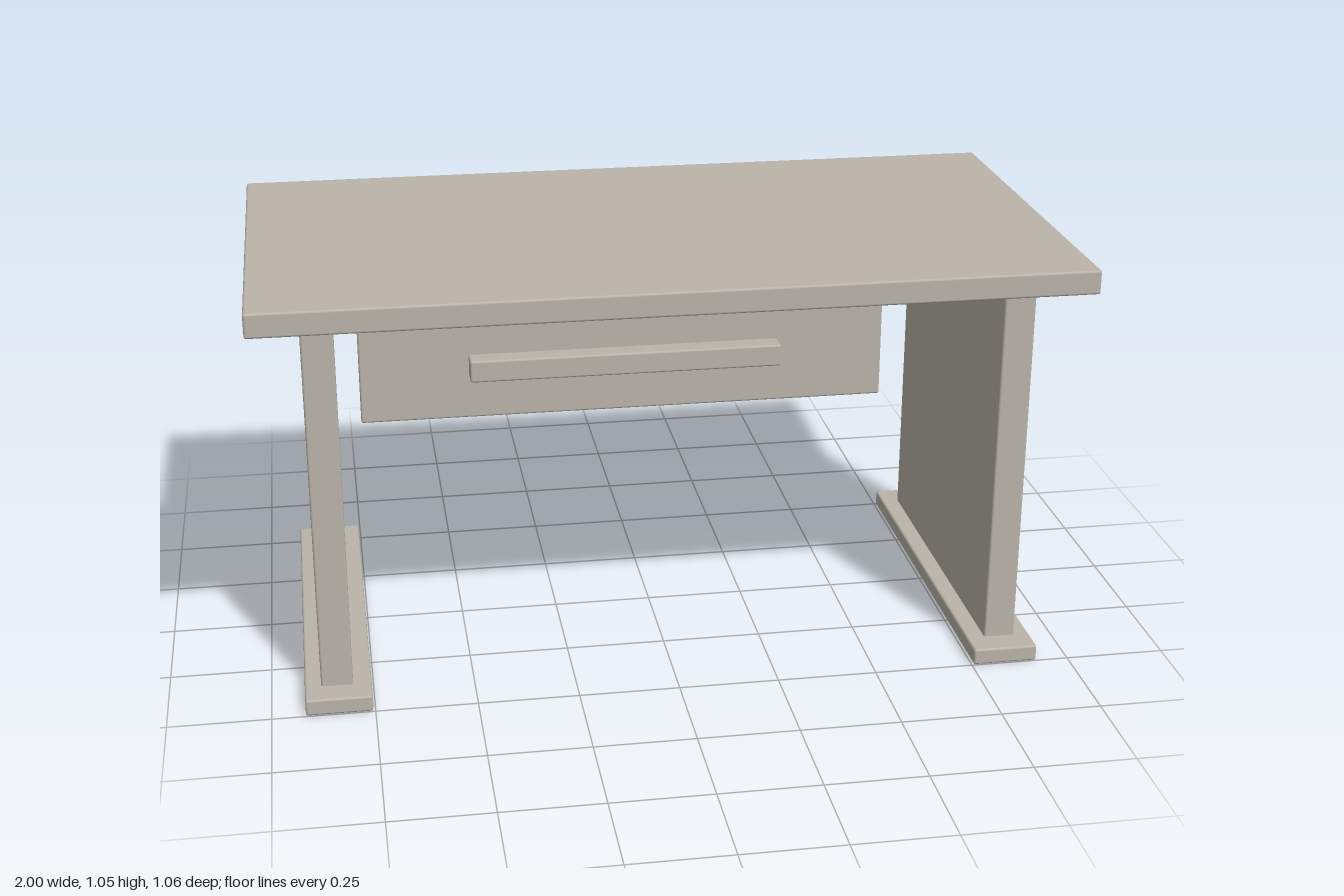
import * as THREE from 'three';
import { RoundedBoxGeometry } from 'three/addons/geometries/RoundedBoxGeometry.js';

export function createModel() {
  const model = new THREE.Group();
  model.name = 'desk';
  const laminate = new THREE.MeshStandardMaterial({ color: 0xbab4aa });
  laminate.name = 'warm grey laminate';

  // Softly bevelled board given by its minimum and maximum corners
  function board(name, [x0, y0, z0], [x1, y1, z1], bevel = 0.006) {
    const geometry = new RoundedBoxGeometry(x1 - x0, y1 - y0, z1 - z0, 2, bevel);
    const mesh = new THREE.Mesh(geometry, laminate);
    mesh.name = name;
    mesh.position.set((x0 + x1) / 2, (y0 + y1) / 2, (z0 + z1) / 2);
    model.add(mesh);
  }

  board('tabletop', [-1, 0.987, -0.532], [1, 1.047, 0.532]);

  // Slab leg and floor foot on each side
  for (const [side, s] of [['left', 1], ['right', -1]]) {
    const span = (a, b) => (s > 0 ? [a, b] : [-b, -a]);
    const [l0, l1] = span(0.8, 0.878);
    const [f0, f1] = span(0.755, 0.918);
    board(side + 'Leg', [l0, 0.035, -0.432], [l1, 0.992, 0.432]);
    board(side + 'Foot', [f0, 0, -0.5], [f1, 0.042, 0.5]);
  }

  // Rear privacy panel with a cable rail on its inner face
  board('modestyPanel', [-0.732, 0.378, -0.46], [0.732, 0.798, -0.43]);
  board('cableRail', [-0.432, 0.502, -0.432], [0.432, 0.564, -0.37]);

  return model;
}
